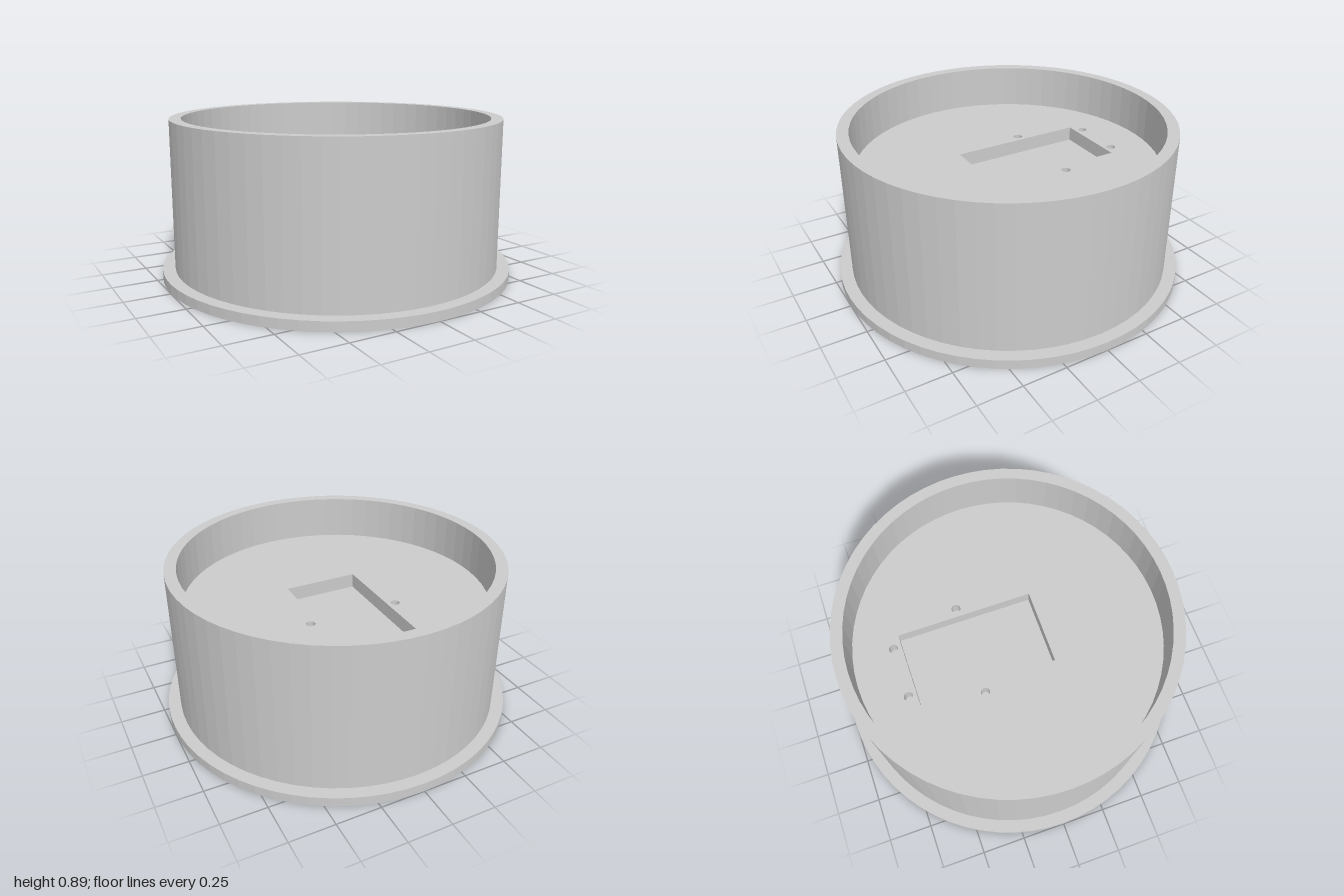
import * as THREE from 'three';

const SEGMENTS = 64;
const FLOOR_Y = 0.64;
const material = new THREE.MeshStandardMaterial({ color: 0xcccccc, flatShading: true });

function addMesh(group, name, geometry) {
  const mesh = new THREE.Mesh(geometry, material);
  mesh.name = name;
  group.add(mesh);
  return mesh;
}

// Flat outline laid horizontally, facing up (outline y becomes -z)
function flatPlate(shape, y, divisions) {
  return new THREE.ShapeGeometry(shape, divisions).rotateX(-Math.PI / 2).translate(0, y, 0);
}

function circlePath(Type, x, y, radius) {
  const path = new Type();
  path.absarc(x, y, radius, 0, Math.PI * 2, false);
  return path;
}

// Inward-facing walls and a bottom for a counter-clockwise outline sunk into the floor
function addRecess(group, name, outline, depth, divisions) {
  const points = outline.getPoints(divisions);
  const top = FLOOR_Y, bottom = FLOOR_Y - depth;
  const positions = [];
  points.forEach((a, i) => {
    const b = points[(i + 1) % points.length];
    positions.push(b.x, top, -b.y, b.x, bottom, -b.y, a.x, bottom, -a.y);
    positions.push(b.x, top, -b.y, a.x, bottom, -a.y, a.x, top, -a.y);
  });
  const walls = new THREE.BufferGeometry();
  walls.setAttribute('position', new THREE.Float32BufferAttribute(positions, 3));
  walls.computeVertexNormals();
  const recess = new THREE.Group();
  recess.name = name;
  addMesh(recess, name + 'Walls', walls);
  addMesh(recess, name + 'Bottom', flatPlate(outline, bottom, divisions));
  group.add(recess);
}

export function createModel() {
  const model = new THREE.Group();
  model.name = 'flangedRoundHousing';

  // Closed underside, flange, outer wall, rim and inner wall
  const profile = [
    [0, 0], [1, 0], [1, 0.053], [0.93, 0.053],
    [0.93, 0.892], [0.865, 0.892], [0.865, FLOOR_Y],
  ].map(([r, y]) => new THREE.Vector2(r, y));
  addMesh(model, 'flangedBody', new THREE.LatheGeometry(profile, SEGMENTS));

  // Rectangular pocket towards the back
  const pocket = new THREE.Shape();
  pocket.moveTo(-0.212, -0.2);
  pocket.lineTo(0.212, -0.2);
  pocket.lineTo(0.212, 0.573);
  pocket.lineTo(-0.212, 0.573);
  pocket.closePath();
  addRecess(model, 'pocket', pocket, 0.083, 1);

  // Four screw holes around the pocket, mirrored left and right
  const floor = circlePath(THREE.Shape, 0, 0, 0.865);
  floor.holes.push(pocket);
  for (const side of [-1, 1]) {
    for (const [x, y] of [[0.145, 0.62], [0.26, 0.22]]) {
      const hole = circlePath(THREE.Shape, side * x, y, 0.025);
      floor.holes.push(hole);
      addRecess(model, 'screwHole', hole, 0.08, SEGMENTS);
    }
  }

  // Recessed floor pierced by the pocket and holes
  addMesh(model, 'floor', flatPlate(floor, FLOOR_Y, SEGMENTS));
  return model;
}
